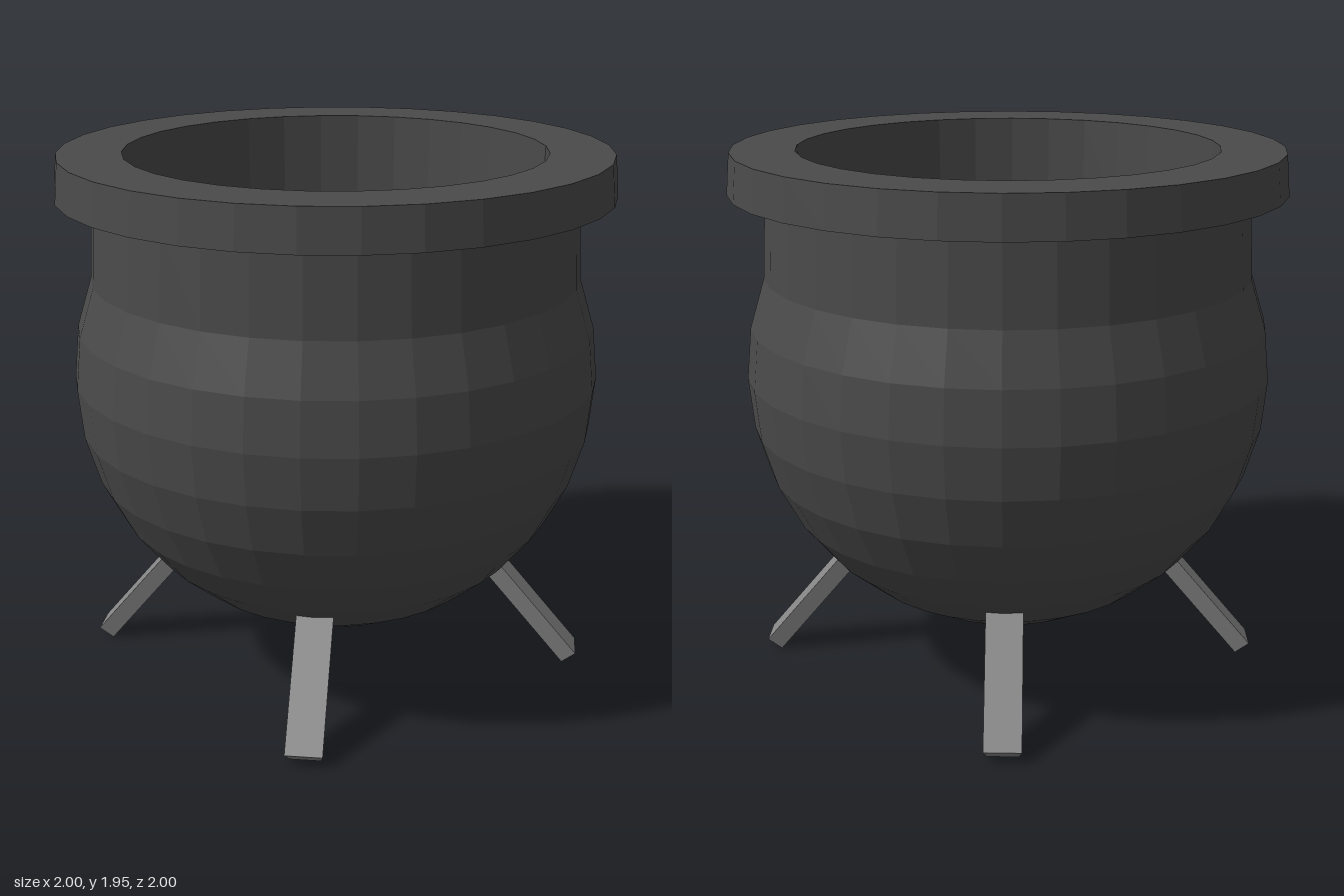
import * as THREE from 'three';

const SIDES = 32;

const iron = new THREE.MeshStandardMaterial({ color: 0x4a4a4a });
iron.name = 'dark iron';
const steel = new THREE.MeshStandardMaterial({ color: 0x858585 });
steel.name = 'grey metal';
const brew = new THREE.MeshStandardMaterial({ color: 0x9aba5c });
brew.name = 'green brew';

// Faceted normals for a low-poly finish
function faceted(geometry) {
  const flat = geometry.index ? geometry.toNonIndexed() : geometry;
  flat.computeVertexNormals();
  return flat;
}

function lathe(name, points, material) {
  const profile = points.map(([r, y]) => new THREE.Vector2(r, y));
  const mesh = new THREE.Mesh(faceted(new THREE.LatheGeometry(profile, SIDES)), material);
  mesh.name = name;
  return mesh;
}

// Leg: trapezoid bar, wide face outwards, splayed away from the pot
function legGeometry() {
  const shape = new THREE.Shape([
    new THREE.Vector2(-0.055, -0.033),
    new THREE.Vector2(0.055, -0.033),
    new THREE.Vector2(0.066, 0.033),
    new THREE.Vector2(-0.066, 0.033),
  ]);
  const geometry = new THREE.ExtrudeGeometry(shape, { depth: 0.62, bevelEnabled: false });
  const tilt = THREE.MathUtils.degToRad(40);
  const up = new THREE.Vector3(0, Math.cos(tilt), -Math.sin(tilt));
  const out = new THREE.Vector3(0, Math.sin(tilt), Math.cos(tilt));
  const side = new THREE.Vector3().crossVectors(out, up);
  const placement = new THREE.Matrix4().makeBasis(side, out, up).setPosition(0, 0.028, 0.905);
  return geometry.applyMatrix4(placement);
}

export function createModel() {
  const group = new THREE.Group();
  group.name = 'cauldron';

  // Round belly: sphere rings from the bottom up to the shoulder, then the neck
  const belly = [];
  for (let i = 0; i <= 10; i++) {
    const a = (i / 16) * Math.PI;
    belly.push([0.955 * Math.sin(a), 1.14 - 0.955 * Math.cos(a)]);
  }
  belly.push([0.866, 1.81]);
  group.add(lathe('belly', belly, iron));

  // Rim: underside, outer band, flat top, then the inner wall down to the brew
  group.add(lathe('rim', [
    [0.85, 1.797], [0.998, 1.808], [0.985, 1.955], [0.755, 1.955],
    [0.746, 1.58], [0.73, 1.52],
  ], iron));

  // Brew surface
  const surface = new THREE.Mesh(new THREE.CircleGeometry(0.74, SIDES), brew);
  surface.name = 'brew';
  surface.rotation.x = -Math.PI / 2;
  surface.position.y = 1.53;
  group.add(surface);

  // Four legs, one on each axis
  const legShape = legGeometry();
  for (let i = 0; i < 4; i++) {
    const leg = new THREE.Mesh(legShape, steel);
    leg.name = `leg${i + 1}`;
    leg.rotation.y = (i * Math.PI) / 2;
    group.add(leg);
  }
  return group;
}
